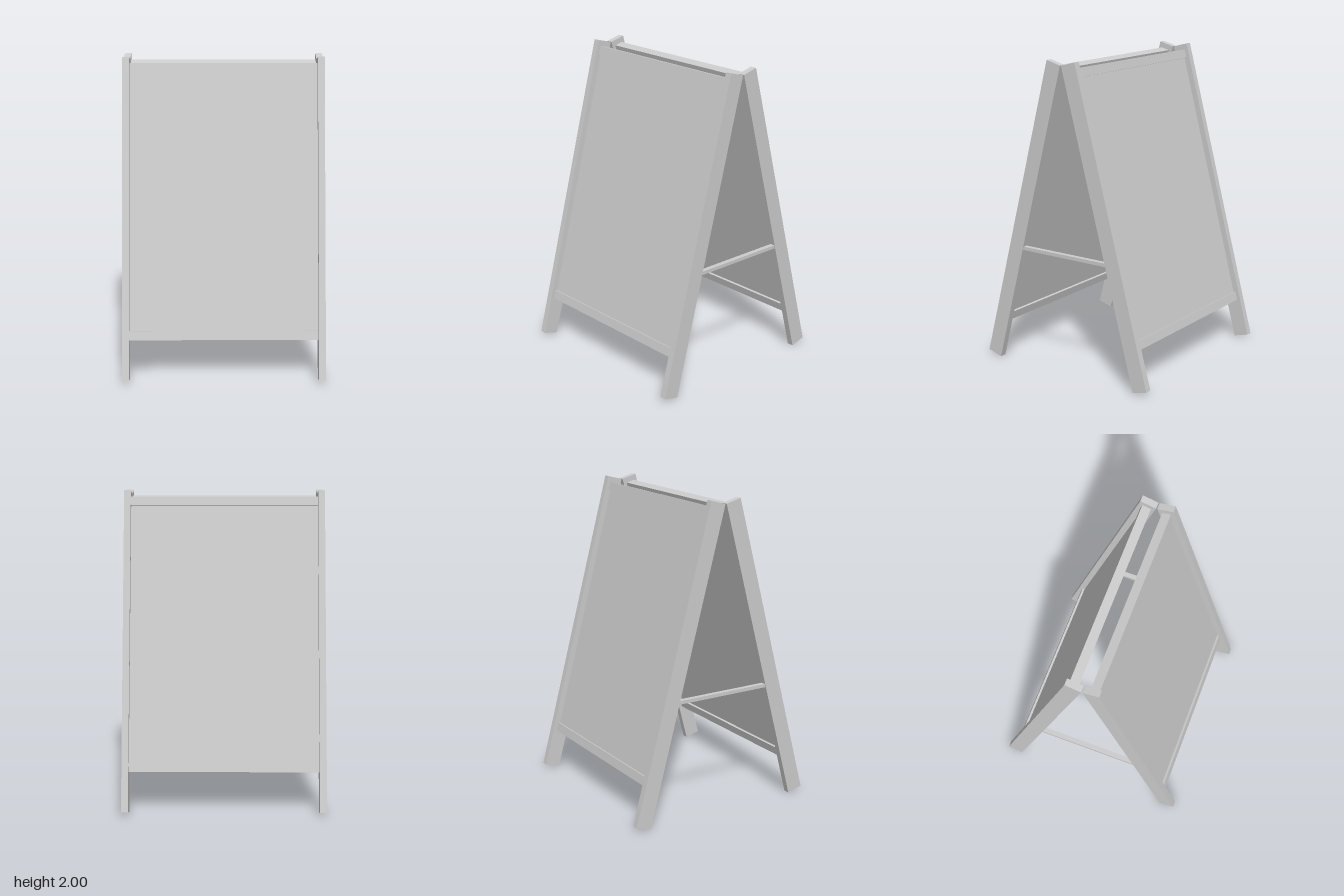
import * as THREE from 'three';

const TILT = THREE.MathUtils.degToRad(15);
const material = new THREE.MeshStandardMaterial({ color: 0xcccccc });

function box(name, w, h, d, x, y, z) {
  const mesh = new THREE.Mesh(new THREE.BoxGeometry(w, h, d), material);
  mesh.name = name;
  mesh.position.set(x, y, z);
  return mesh;
}

// One leaning half: two legs, two rails and the board between them
function createFrame(name) {
  const frame = new THREE.Group();
  frame.name = name;
  const rail = 0.057;
  const topRailY = 0.957, bottomRailY = -0.741;
  for (const [side, s] of [['left', 1], ['right', -1]]) {
    frame.add(box(side + 'Leg', 0.043, 2.042, 0.105, s * 0.6195, 0, 0));
  }
  frame.add(box('topRail', 1.196, rail, rail, 0, topRailY, 0));
  frame.add(box('bottomRail', 1.196, rail, rail, 0, bottomRailY, 0));
  frame.add(box('panel', 1.196, topRailY - bottomRailY - rail, 0.027,
    0, (topRailY + bottomRailY) / 2, 0));
  frame.position.set(0, 1, 0.319);
  frame.rotation.x = -TILT;
  return frame;
}

export function createModel() {
  const model = new THREE.Group();
  model.name = 'sandwichBoard';

  model.add(createFrame('frontFrame'));

  // The back half is the front half turned around
  const back = new THREE.Group();
  back.name = 'backHalf';
  back.rotation.y = Math.PI;
  back.add(createFrame('backFrame'));
  model.add(back);

  // Spreader bars joining the legs on each side
  for (const [side, s] of [['left', 1], ['right', -1]]) {
    model.add(box(side + 'SpreaderBar', 0.032, 0.022, 0.66, s * 0.621, 0.78, 0));
  }
  return model;
}
